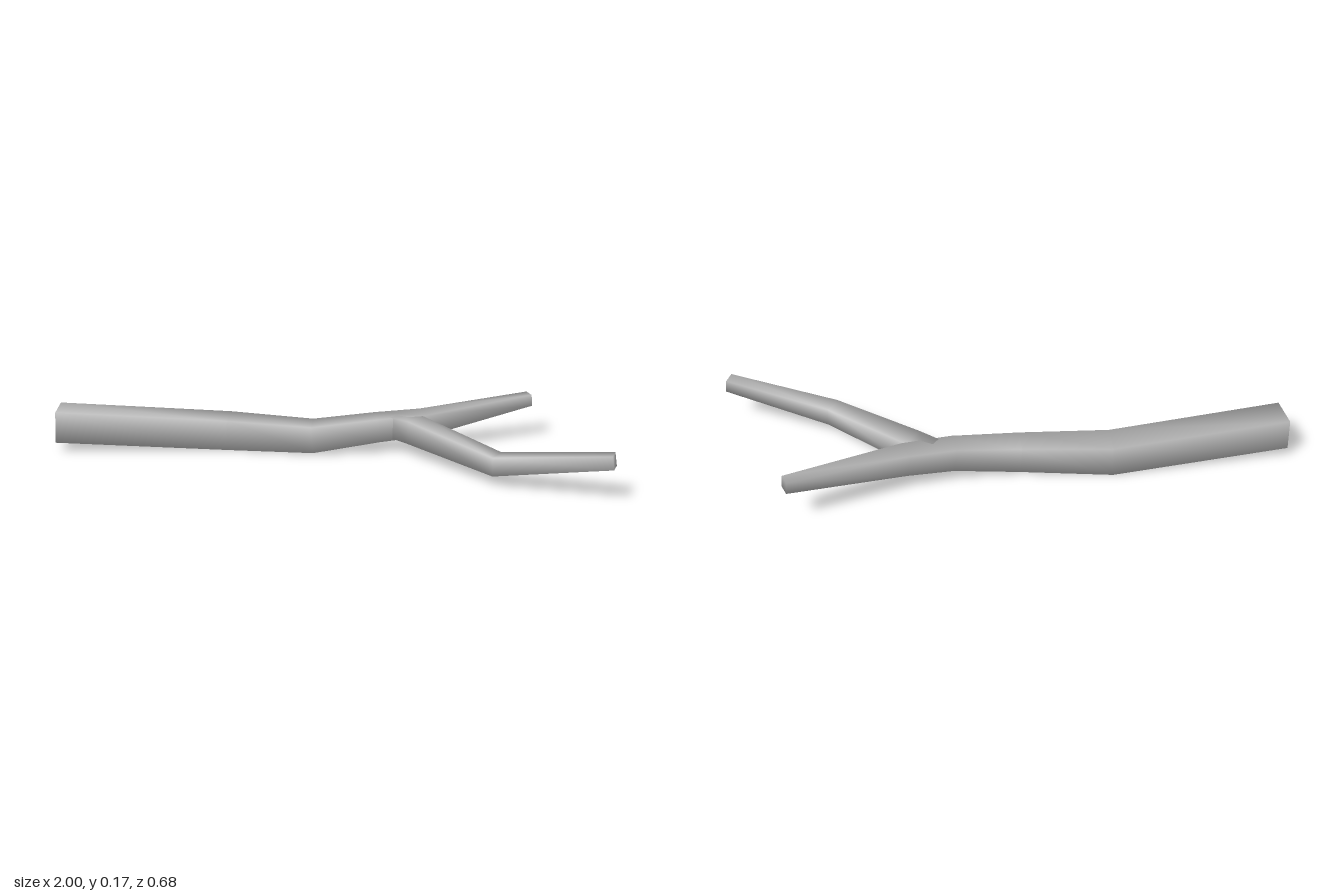
import * as THREE from 'three';

// Sweep a square section along stations [x, y, z, halfSize], with mitred rings and capped ends.
function squareLimb(stations) {
  const pts = stations.map(([x, y, z]) => new THREE.Vector3(x, y, z));
  const worldUp = new THREE.Vector3(0, 1, 0);
  const corners = [[1, 1], [-1, 1], [-1, -1], [1, -1]];
  const positions = [];
  const index = [];
  const last = pts.length - 1;
  const dir = (i) => pts[i + 1].clone().sub(pts[i]).normalize();

  pts.forEach((p, i) => {
    const before = dir(Math.max(i - 1, 0));
    const after = dir(Math.min(i, last - 1));
    const tangent = before.add(after).normalize();
    const side = worldUp.clone().cross(tangent).normalize();
    const up = tangent.clone().cross(side);
    const h = stations[i][3];
    for (const [s, u] of corners) {
      const v = p.clone().addScaledVector(side, s * h).addScaledVector(up, u * h);
      positions.push(v.x, v.y, v.z);
    }
    if (i === last) return;
    for (let k = 0; k < 4; k++) {
      const a = i * 4 + k, b = i * 4 + (k + 1) % 4;
      index.push(a, b, b + 4, a, b + 4, a + 4);
    }
  });

  // End caps share the ring vertices, so the ends shade softly
  const e = last * 4;
  index.push(0, 3, 2, 0, 2, 1, e, e + 1, e + 2, e, e + 2, e + 3);

  const geometry = new THREE.BufferGeometry();
  geometry.setAttribute('position', new THREE.Float32BufferAttribute(positions, 3));
  geometry.setIndex(index);
  geometry.computeVertexNormals();
  return geometry;
}

export function createModel() {
  const group = new THREE.Group();
  group.name = 'branch';
  const bark = new THREE.MeshStandardMaterial({ name: 'grey bark', color: 0xb0b0b0 });

  const addLimb = (name, stations) => {
    const mesh = new THREE.Mesh(squareLimb(stations), bark);
    mesh.name = name;
    group.add(mesh);
  };

  // Main stem, bending gently and running on into the rear twig
  addLimb('mainStem', [
    [-0.995, 0.097, -0.15, 0.059],
    [-0.36, 0.062, -0.18, 0.057],
    [-0.04, 0.061, -0.135, 0.05],
    [0.2, 0.093, -0.151, 0.044],
    [0.37, 0.104, -0.178, 0.041],
    [0.777, 0.153, -0.323, 0.022],
  ]);

  // Front twig, leaving the fork and bending outward
  addLimb('frontTwig', [
    [0.27, 0.1, -0.155, 0.04],
    [0.335, 0.1, -0.105, 0.043],
    [0.61, 0.077, 0.172, 0.034],
    [0.985, 0.148, 0.311, 0.024],
  ]);

  return group;
}
